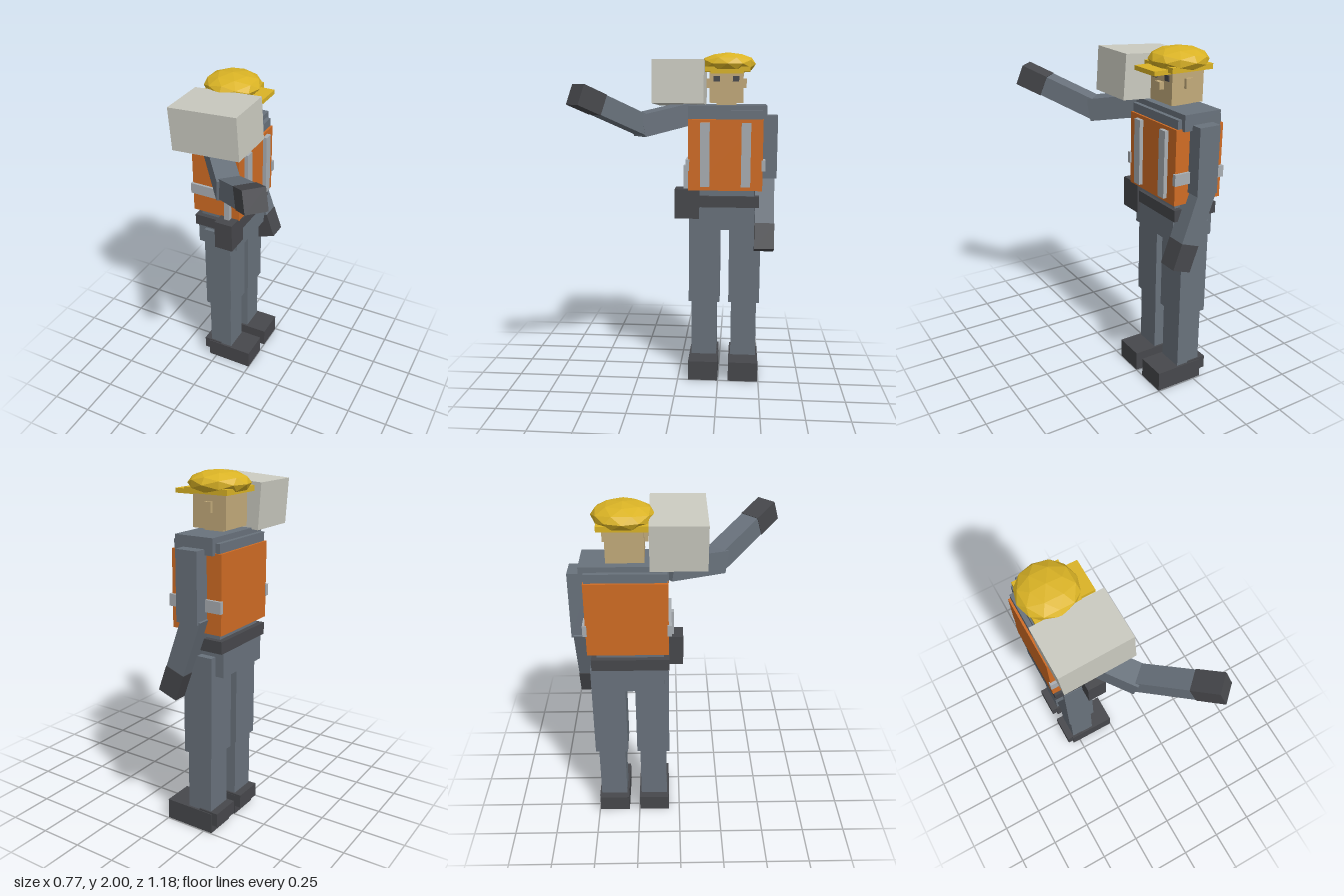
import * as THREE from 'three';

const mat = (color) => new THREE.MeshStandardMaterial({ color, flatShading: true });

export function createModel() {
  const root = new THREE.Group();
  root.name = 'worker';
  const cloth = mat(0x69727c), dark = mat(0x47484c), orange = mat(0xd06c24), stripe = mat(0xa9aeb3);
  const yellow = mat(0xdab325), skin = mat(0xc2aa7a), crateGrey = mat(0xcacac0);

  // Box given by its limits on each axis
  const box = (name, material, [x0, x1], [y0, y1], [z0, z1]) => {
    const mesh = new THREE.Mesh(new THREE.BoxGeometry(x1 - x0, y1 - y0, z1 - z0), material);
    mesh.position.set((x0 + x1) / 2, (y0 + y1) / 2, (z0 + z1) / 2);
    mesh.name = name;
    root.add(mesh);
    return mesh;
  };
  // Square bar running from point a to point b
  const bar = (name, material, a, b, width) => {
    const from = new THREE.Vector3(...a), to = new THREE.Vector3(...b);
    const mesh = new THREE.Mesh(new THREE.BoxGeometry(width, width, from.distanceTo(to)), material);
    mesh.position.copy(from).lerp(to, 0.5);
    mesh.lookAt(to);
    mesh.name = name;
    root.add(mesh);
  };

  const midZ = -0.28;
  // Pairs mirrored about the body's middle plane; the figure faces +x
  for (const s of [1, -1]) {
    const side = s > 0 ? 'right' : 'left';
    const span = (near, far) => [midZ + s * near, midZ + s * far].sort((a, b) => a - b);
    // Legs and boots
    box(side + 'Boot', dark, [-0.3, 0], [0, 0.12], span(0.033, 0.215));
    box(side + 'Heel', dark, [-0.335, -0.215], [0.05, 0.13], span(0.035, 0.21));
    box(side + 'Shin', cloth, [-0.29, -0.14], [0.12, 0.48], span(0.045, 0.202));
    box(side + 'Thigh', cloth, [-0.305, -0.127], [0.47, 1.05], span(0.028, 0.22));
    // Reflective strips on the vest
    box(side + 'SideStrip', stripe, [-0.375, -0.053], [1.305, 1.37], span(0.215, 0.238));
    box(side + 'FrontStrip', stripe, [-0.07, -0.04], [1.21, 1.59], span(0.094, 0.15));
    // Face
    box(side + 'Ear', skin, [-0.235, -0.19], [1.79, 1.845], span(0.095, 0.12));
    box(side + 'Eye', dark, [-0.13, -0.106], [1.83, 1.862], span(0.037, 0.075));
  }

  // Body
  box('pelvis', cloth, [-0.355, -0.09], [0.94, 1.09], [-0.46, -0.083]);
  box('belt', dark, [-0.36, -0.08], [1.08, 1.148], [-0.485, -0.055]);
  box('waist', cloth, [-0.33, -0.1], [1.14, 1.2], [-0.455, -0.085]);
  box('vest', orange, [-0.368, -0.063], [1.185, 1.61], [-0.502, -0.058]);
  box('chest', cloth, [-0.355, -0.075], [1.55, 1.66], [-0.497, -0.063]);
  box('shoulders', cloth, [-0.33, -0.1], [1.6, 1.69], [-0.523, -0.055]);

  // Radio in a pouch on the right hip
  box('pouch', dark, [-0.185, -0.07], [1.01, 1.19], [-0.125, 0.024]);
  box('antenna', stripe, [-0.147, -0.113], [1.18, 1.33], [-0.055, -0.027]);

  // Hanging left arm
  box('leftUpperArm', cloth, [-0.28, -0.15], [1.25, 1.63], [-0.59, -0.465]);
  bar('leftForearm', cloth, [-0.235, 1.28, -0.52], [-0.125, 0.97, -0.52], 0.115);
  bar('leftHand', dark, [-0.125, 0.97, -0.52], [-0.072, 0.822, -0.52], 0.119);

  // Raised right arm
  bar('rightUpperArm', cloth, [-0.22, 1.645, -0.07], [0.025, 1.577, 0.23], 0.13);
  bar('rightForearm', cloth, [0.005, 1.575, 0.2], [0.225, 1.703, 0.425], 0.115);
  bar('rightHand', dark, [0.225, 1.703, 0.425], [0.328, 1.762, 0.53], 0.12);

  // Head
  box('neck', skin, [-0.27, -0.155], [1.67, 1.72], [-0.34, -0.22]);
  box('head', skin, [-0.315, -0.112], [1.705, 1.9], [-0.381, -0.18]);
  box('nose', skin, [-0.12, -0.085], [1.78, 1.82], [-0.305, -0.255]);

  // Hard hat
  const dome = new THREE.Mesh(new THREE.IcosahedronGeometry(0.166, 1), yellow);
  dome.scale.y = 0.41;
  dome.position.set(-0.2145, 1.932, -0.287);
  dome.name = 'hatDome';
  root.add(dome);
  box('hatBand', yellow, [-0.345, -0.085], [1.885, 1.915], [-0.42, -0.155]);
  box('hatVisor', yellow, [-0.12, 0], [1.875, 1.9], [-0.38, -0.19]);

  // Crate carried on the right shoulder
  const crate = box('crate', crateGrey, [-0.376, 0.038], [1.693, 1.943], [-0.153, 0.146]);
  crate.rotation.z = 0.065;

  return root;
}
